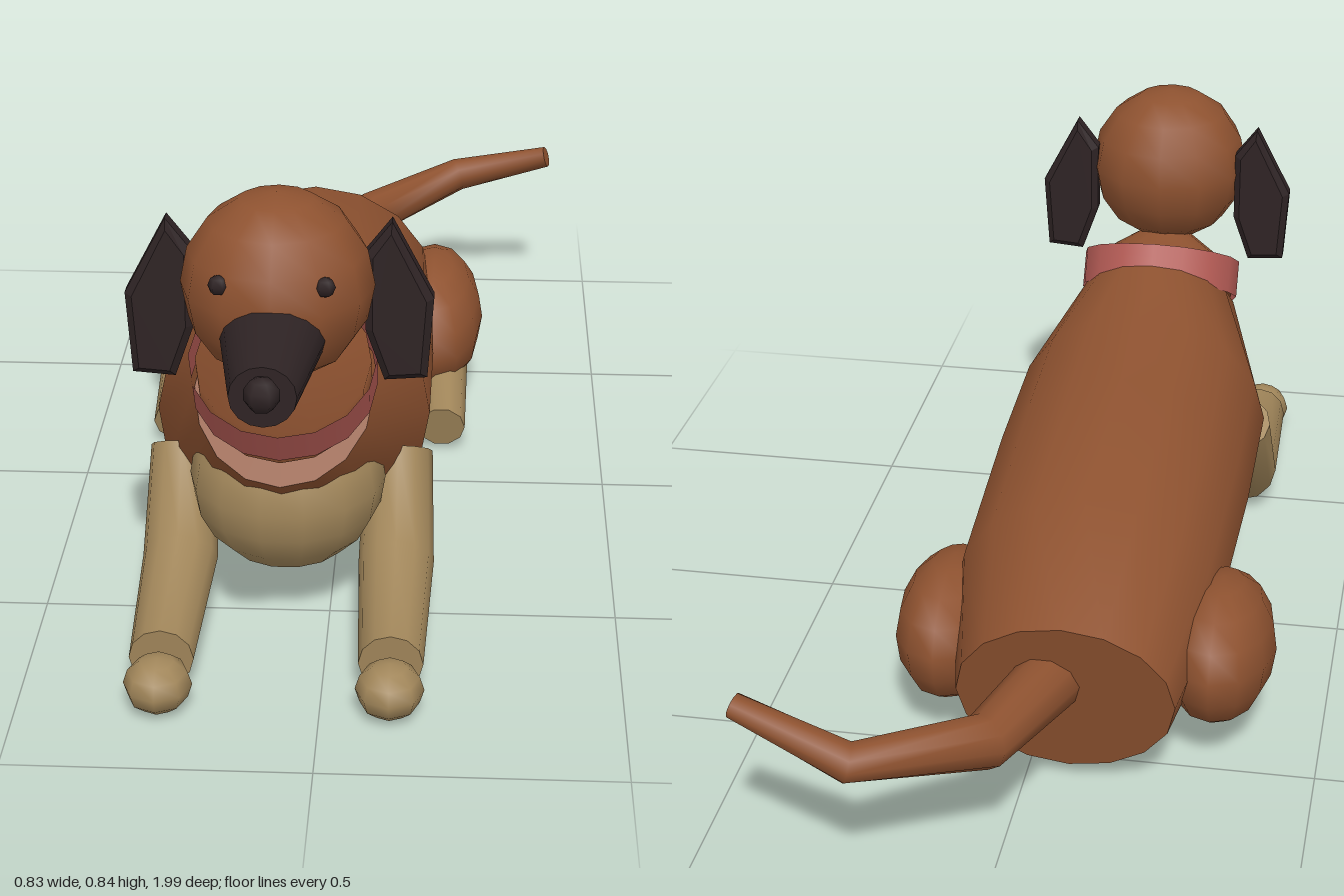
import * as THREE from 'three';

const mat = (name, color, extra) => {
  const m = new THREE.MeshStandardMaterial({ color, ...extra });
  m.name = name;
  return m;
};
const V = (x, y, z) => new THREE.Vector3(x, y, z);

// Smooth skin over rings {c, u, v}, with flat caps at both ends
function loft(rings, n = 14) {
  const pos = [], idx = [];
  const addRing = ({ c, u, v }) => {
    for (let i = 0; i < n; i++) {
      const a = (i / n) * Math.PI * 2;
      const p = c.clone().addScaledVector(u, Math.cos(a)).addScaledVector(v, Math.sin(a));
      pos.push(p.x, p.y, p.z);
    }
  };
  rings.forEach(addRing);
  for (let r = 0; r < rings.length - 1; r++) {
    for (let i = 0; i < n; i++) {
      const a = r * n + i, b = r * n + ((i + 1) % n);
      idx.push(a, b, a + n, b, b + n, a + n);
    }
  }
  [rings[0], rings[rings.length - 1]].forEach((ring, end) => {
    const base = pos.length / 3;
    addRing(ring);
    pos.push(ring.c.x, ring.c.y, ring.c.z);
    for (let i = 0; i < n; i++) {
      const a = base + i, b = base + ((i + 1) % n);
      if (end) idx.push(base + n, a, b);
      else idx.push(base + n, b, a);
    }
  });
  const g = new THREE.BufferGeometry();
  g.setAttribute('position', new THREE.Float32BufferAttribute(pos, 3));
  g.setIndex(idx);
  g.computeVertexNormals();
  return g;
}

// Tapered bent limb through points with one radius each
function limb(points, radii, n = 10) {
  const dir = (i) => points[i + 1].clone().sub(points[i]).normalize();
  const last = points.length - 1;
  return loft(points.map((c, i) => {
    const t = i === 0 ? dir(0) : i === last ? dir(last - 1) : dir(i - 1).add(dir(i)).normalize();
    const u = V(0, 1, 0).cross(t).normalize();
    const v = t.clone().cross(u);
    return { c, u: u.multiplyScalar(radii[i]), v: v.multiplyScalar(radii[i]) };
  }), n);
}

// Ring set by its top and bottom points in the side plane and its half width
const bodyRing = ([tz, ty, bz, by, w]) => ({
  c: V(0, (ty + by) / 2, (tz + bz) / 2),
  u: V(w, 0, 0),
  v: V(0, (ty - by) / 2, (tz - bz) / 2),
});

export function createModel() {
  const brown = mat('brown coat', 0x8e5230);
  const tan = mat('tan coat', 0xa1865a);
  const dark = mat('dark coat', 0x2e2324);
  const pink = mat('collar pink', 0xb25a54, { side: THREE.DoubleSide });

  const dog = new THREE.Group();
  dog.name = 'dog';
  const add = (name, geo, material, p = [0, 0, 0], s = [1, 1, 1]) => {
    const m = new THREE.Mesh(geo, material);
    m.name = name;
    m.position.set(...p);
    m.scale.set(...s);
    dog.add(m);
    return m;
  };

  // Long body, slanted at the rump and the neck
  add('body', loft([
    [-0.64, 0.35, -0.565, 0.03, 0.19],
    [-0.39, 0.46, -0.39, 0.045, 0.235],
    [0, 0.505, 0, 0.045, 0.245],
    [0.22, 0.53, 0.37, 0.06, 0.243],
    [0.39, 0.565, 0.64, 0.32, 0.152],
  ].map(bodyRing), 16), brown);

  // Neck rising from inside the collar to the head
  add('neck', loft([
    [0.39, 0.56, 0.63, 0.36, 0.148],
    [0.41, 0.583, 0.665, 0.43, 0.148],
    [0.56, 0.57, 0.63, 0.54, 0.05],
    [0.58, 0.64, 0.66, 0.62, 0.05],
  ].map(bodyRing), 16), brown);

  // Collar band
  const collar = add('collar', new THREE.CylinderGeometry(0.158, 0.158, 0.072, 16, 1, true), pink, [0, 0.487, 0.53]);
  collar.rotation.x = 0.56;

  // Tan chest
  add('chest', new THREE.SphereGeometry(1, 14, 10), tan, [0, 0.25, 0.455], [0.17, 0.162, 0.168]);

  // Head, snout and nose
  add('head', new THREE.SphereGeometry(0.157, 12, 8), brown, [0, 0.69, 0.64]);
  add('snout', loft([
    { c: V(0, 0.645, 0.70), u: V(0.092, 0, 0), v: V(0, 0.068, 0) },
    { c: V(0, 0.64, 0.96), u: V(0.052, 0, 0), v: V(0, 0.05, 0) },
  ], 16), dark);
  add('nose', new THREE.SphereGeometry(0.029, 6, 5), dark, [0, 0.65, 0.972]);

  // Tail sweeping to the left
  add('tail', limb(
    [V(0, 0.215, -0.5), V(0.095, 0.235, -0.815), V(0.285, 0.275, -0.965), V(0.48, 0.335, -0.925)],
    [0.062, 0.048, 0.035, 0.022], 10), brown);

  for (const s of [1, -1]) {
    const side = s > 0 ? 'left' : 'right';

    add(side + 'Eye', new THREE.SphereGeometry(0.017, 6, 4), dark, [s * 0.083, 0.736, 0.762]);

    // Hanging ear
    const outline = [[0.182, 0.78], [0.145, 0.73], [0.145, 0.6], [0.175, 0.515], [0.237, 0.52], [0.246, 0.655]];
    const ear = new THREE.ExtrudeGeometry(
      new THREE.Shape(outline.map(([x, y]) => new THREE.Vector2(s * x, y))),
      { depth: 0.025, bevelEnabled: true, bevelThickness: 0.012, bevelSize: 0.012, bevelOffset: -0.007, bevelSegments: 1 });
    add(side + 'Ear', ear, dark, [0, 0, 0.588]);

    // Front leg and paw
    add(side + 'FrontLeg', limb(
      [V(s * 0.19, 0.25, 0.355), V(s * 0.19, 0.088, 0.466), V(s * 0.19, 0.066, 0.77)],
      [0.06, 0.066, 0.054], 12), tan);
    add(side + 'FrontPaw', new THREE.SphereGeometry(1, 8, 6), tan, [s * 0.19, 0.052, 0.825], [0.057, 0.048, 0.06]);

    // Hind thigh and foot
    const thigh = add(side + 'Thigh', new THREE.SphereGeometry(1, 12, 8), brown, [s * 0.24, 0.187, -0.38], [0.1, 0.13, 0.183]);
    thigh.rotation.x = 0.15;
    add(side + 'HindFoot', limb(
      [V(s * 0.262, 0.12, -0.37), V(s * 0.262, 0.057, -0.128)], [0.05, 0.046], 10), tan);
  }

  // Shift so the outstretched tail balances the whole about the centre
  dog.position.x = -0.075;
  const model = new THREE.Group();
  model.name = 'lyingDog';
  model.add(dog);
  return model;
}
